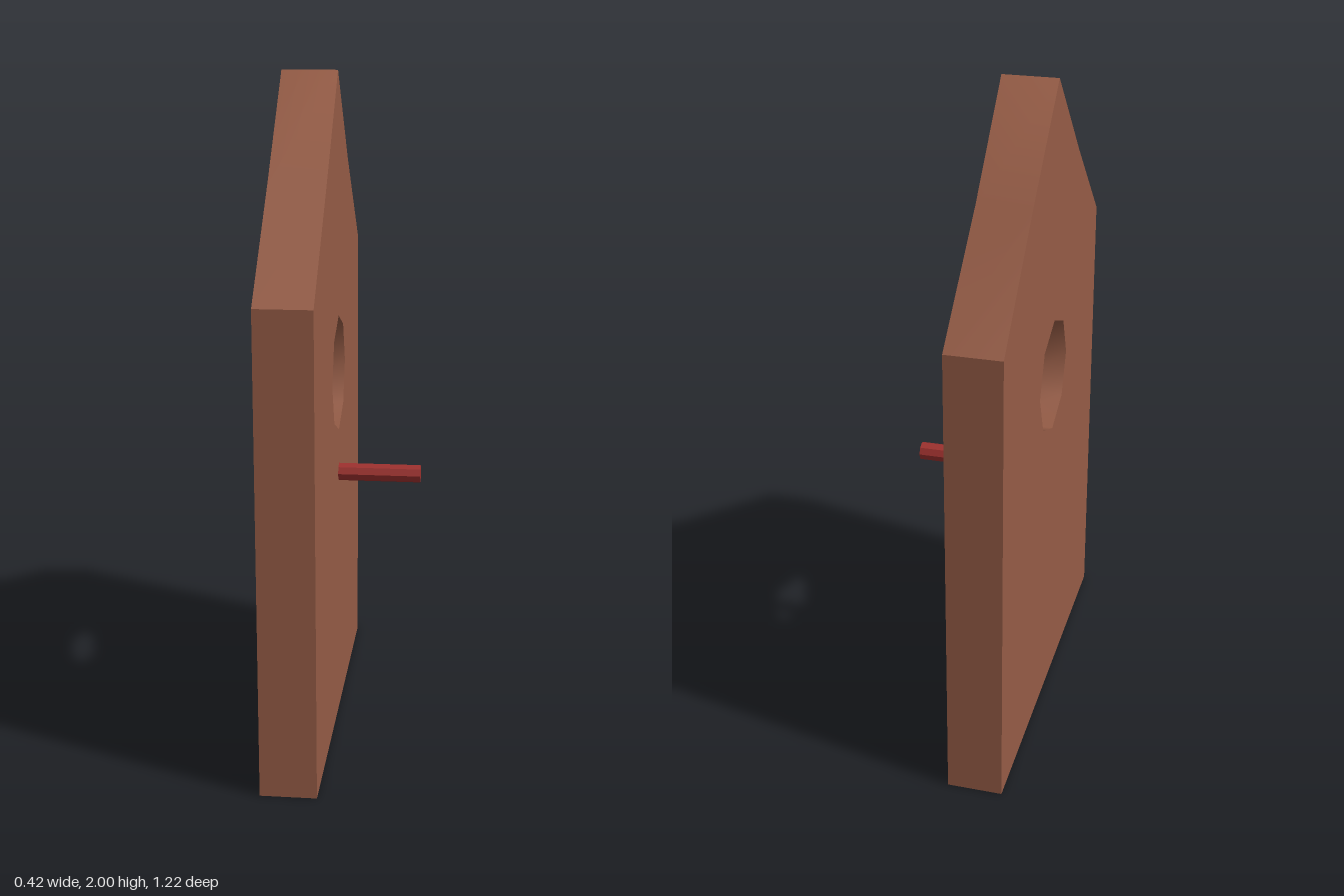
import * as THREE from 'three';

const FRONT = -0.045, BACK = -0.21; // x of the two broad faces

// Band joining a front outline to a back outline; points are [z, y], counterclockwise seen from +x.
function band(front, back, closed = false) {
  const pos = [], idx = [], n = front.length;
  front.forEach(([z, y], i) => pos.push(FRONT, y, z, BACK, back[i][1], back[i][0]));
  for (let i = 0; i < (closed ? n : n - 1); i++) {
    const a = 2 * i, b = 2 * ((i + 1) % n);
    idx.push(a, a + 1, b + 1, a, b + 1, b);
  }
  const g = new THREE.BufferGeometry();
  g.setAttribute('position', new THREE.Float32BufferAttribute(pos, 3));
  g.setIndex(idx);
  g.computeVertexNormals();
  return g;
}

// Broad face with the entrance hole, facing +x (side 1) or -x (side -1).
function face(outline, hole, side) {
  const flat = ([z, y]) => new THREE.Vector2(-side * z, y);
  const shape = new THREE.Shape(outline.map(flat));
  shape.holes.push(new THREE.Path(hole.map(flat)));
  const g = new THREE.ShapeGeometry(shape);
  g.rotateY(side * Math.PI / 2);
  g.translate(side > 0 ? FRONT : BACK, 0, 0);
  return g;
}

export function createModel() {
  const model = new THREE.Group();
  model.name = 'birdhouseFront';
  const wood = new THREE.MeshStandardMaterial({ color: 0x955c46 });
  wood.name = 'brown wood';
  const red = new THREE.MeshStandardMaterial({ color: 0x9c302d });
  red.name = 'red paint';
  const add = (name, geometry, material) => {
    const mesh = new THREE.Mesh(geometry, material);
    mesh.name = name;
    model.add(mesh);
    return mesh;
  };

  // Slightly warped gable edges, from the -z eave over the ridge to the +z eave
  const gable = (z, y) => [[-0.608, 1.42], [z, y], [0, 2], [0.297, 1.708], [0.608, 1.42]];
  const roofFront = gable(-0.276, 1.714), roofBack = gable(-0.3, 1.724);
  const base = [[0.608, 0], [-0.608, 0]];

  // Eight-sided entrance hole
  const hole = [];
  for (let i = 0; i < 8; i++) {
    const a = i * Math.PI / 4;
    hole.push([0.178 * Math.cos(a), 1.098 + 0.178 * Math.sin(a)]);
  }

  // Panel
  add('frontFace', face([...base, ...roofFront], hole, 1), wood);
  add('backFace', face([...base, ...roofBack], hole, -1), wood);
  add('gableEdge', band(roofFront, roofBack), wood);
  add('holeRim', band(hole, hole, true), wood);
  const edges = {
    bottomEdge: base,
    rearEdge: [[-0.608, 0], [-0.608, 1.42]],
    leadingEdge: [[0.608, 1.42], [0.608, 0]],
  };
  for (const [name, pts] of Object.entries(edges)) add(name, band(pts, pts), wood);

  // Perch
  const perch = new THREE.CylinderGeometry(0.028, 0.028, 0.252, 8).toNonIndexed();
  perch.computeVertexNormals();
  perch.rotateZ(Math.PI / 2);
  add('perch', perch, red).position.set(0.081, 0.784, 0);

  return model;
}
